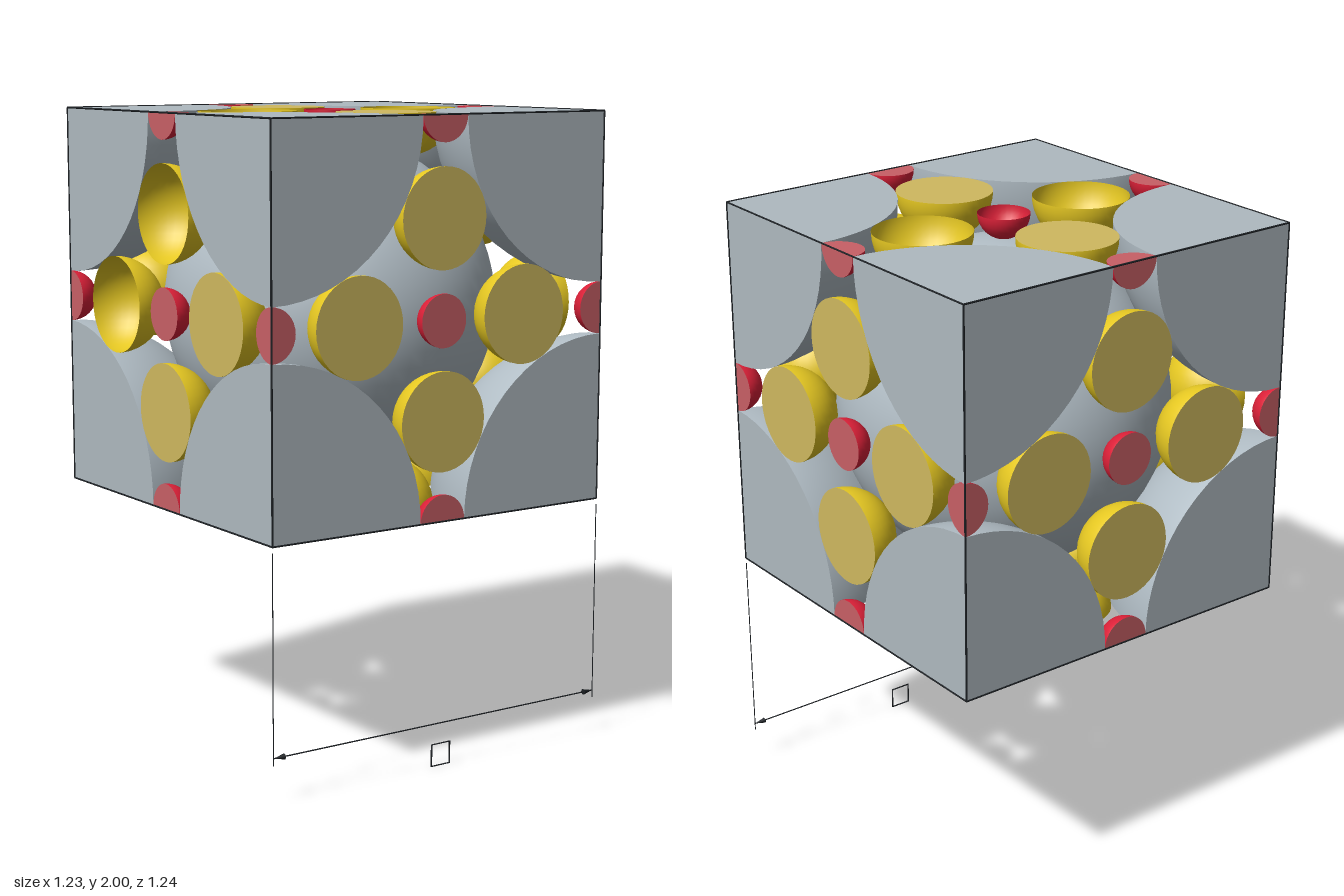
import * as THREE from 'three';

const H = 0.613;                        // half the cell edge
const R = H * Math.sqrt(3) / 2;         // large spheres touch along the diagonal
const R_TETRA = R * 0.291;
const R_OCTA = R * 0.155;
const CENTRE = new THREE.Vector3(0, 1.387, -0.004);

function mat(name, color) {
  const m = new THREE.MeshStandardMaterial({ color, side: THREE.DoubleSide });
  m.name = name;
  return m;
}

const axis = (i, s = 1) => new THREE.Vector3().setComponent(i, s);

// Sphere cut by the cell faces: cut[i] = +1 or -1 where that face passes
// through the centre, 0 where the sphere is left whole.
function cutSphere(name, pos, r, cut, skin, capSkin, seg) {
  const g = new THREE.Group();
  g.name = name;
  g.position.fromArray(pos);

  const [sx, sy, sz] = cut;
  const q = Math.PI / 2;
  let phi = 0, phiLen = 4 * q;
  if (sx && sz) {
    phi = sz < 0 ? (sx > 0 ? 0 : q) : (sx < 0 ? 2 * q : 3 * q);
    phiLen = q;
  } else if (sx) {
    phi = sx > 0 ? -q : q;
    phiLen = 2 * q;
  } else if (sz) {
    phi = sz < 0 ? 0 : 2 * q;
    phiLen = 2 * q;
  }
  const shell = new THREE.Mesh(
    new THREE.SphereGeometry(r, Math.round(seg * phiLen / (4 * q)), sy ? seg / 4 : seg / 2,
      phi, phiLen, sy > 0 ? q : 0, sy ? q : 2 * q), skin);
  shell.name = name + 'Shell';
  g.add(shell);

  // Flat sector on every cut face
  if (capSkin) cut.forEach((s, i) => {
    if (!s) return;
    const n = axis(i, s);
    const others = [0, 1, 2].filter(k => k !== i);
    const inner = others.filter(k => cut[k]).map(k => axis(k, -cut[k]));
    let u = inner[0] || axis(others[0]);
    let v = n.clone().cross(u);
    if (inner.length === 2 && v.dot(inner[1]) < 0) {
      u = inner[1];
      v = n.clone().cross(u);
    }
    const [start, len] = [[0, 4 * q], [-q, 2 * q], [0, q]][inner.length];
    const cap = new THREE.Mesh(
      new THREE.CircleGeometry(r, Math.round(seg * len / (4 * q)), start, len), capSkin);
    cap.name = name + 'Cap';
    cap.quaternion.setFromRotationMatrix(new THREE.Matrix4().makeBasis(u, v, n));
    g.add(cap);
  });
  return g;
}

// Thin straight rod between two points
function rod(name, a, b, r, material) {
  const d = b.clone().sub(a);
  const m = new THREE.Mesh(new THREE.CylinderGeometry(r, r, d.length(), 6), material);
  m.name = name;
  m.position.copy(a).addScaledVector(d, 0.5);
  m.quaternion.setFromUnitVectors(axis(1), d.normalize());
  return m;
}

export function createModel() {
  const grey = mat('atomGrey', 0xb2bec6);
  const greyCap = mat('atomCutGrey', 0xafbac0);
  const yellow = mat('tetrahedralYellow', 0xe6c822);
  const yellowCap = mat('tetrahedralCutYellow', 0xcfb95f);
  const red = mat('octahedralRed', 0xdc2038);
  const redCap = mat('octahedralCutRed', 0xc86066);
  const dark = mat('lineDark', 0x1c2024);

  const model = new THREE.Group();
  model.name = 'unitCell';
  const cell = new THREE.Group();
  cell.name = 'cell';
  cell.position.copy(CENTRE);
  model.add(cell);

  // Some hollows are left uncapped on the top and on the -x face
  const isOpen = (face, k, t) =>
    (face[1] > 0 && k === 0) || (face[0] < 0 && ((k === 1 && t > 0) || (k === 2 && t < 0)));

  const steps = [-1, 0, 1];
  for (const i of steps) for (const j of steps) for (const l of steps) {
    const cut = [i, j, l];
    const pos = cut.map(c => c * H);
    const cuts = cut.filter(Boolean).length;
    if (cuts === 0) {
      cell.add(cutSphere('centreAtom', pos, R, cut, grey, null, 64));
    } else if (cuts === 3) {
      cell.add(cutSphere('cornerAtom', pos, R, cut, grey, greyCap, 64));
    } else if (cuts === 2) {
      cell.add(cutSphere('edgeSite', pos, R_OCTA, cut, red, redCap, 32));
    } else {
      cell.add(cutSphere('faceSite', pos, R_OCTA, cut, red, j > 0 ? null : redCap, 32));
      // Four smaller sites around the middle of each face
      for (const k of [0, 1, 2]) if (!cut[k]) for (const t of [-1, 1]) {
        const p = pos.slice();
        p[k] = t * H / 2;
        cell.add(cutSphere('tetrahedralSite', p, R_TETRA, cut, yellow,
          isOpen(cut, k, t) ? null : yellowCap, 40));
      }
    }
  }

  // Outline of the cell
  for (const k of [0, 1, 2]) for (const s of [-H, H]) for (const t of [-H, H]) {
    const a = new THREE.Vector3().setComponent((k + 1) % 3, s).setComponent((k + 2) % 3, t);
    const b = a.clone();
    cell.add(rod('cellEdge', a.setComponent(k, -H), b.setComponent(k, H), 0.003, dark));
  }

  // Dimension line with arrowheads and extension lines
  const z = CENTRE.z + H;
  const lineY = 0.138;
  const at = (x, y) => new THREE.Vector3(x, y, z);
  model.add(rod('dimensionLine', at(-H, lineY), at(H, lineY), 0.002, dark));
  for (const s of [-1, 1]) {
    model.add(rod('extensionLine', at(s * H, 0.755), at(s * H, 0.115), 0.0015, dark));
    const tip = new THREE.Mesh(new THREE.ConeGeometry(0.009, 0.038, 12), dark);
    tip.name = 'arrowhead';
    tip.rotation.z = -s * Math.PI / 2;
    tip.position.set(s * (H - 0.019), lineY, z);
    model.add(tip);
  }

  // Blank tag under the dimension line
  const tag = new THREE.Mesh(new THREE.TorusGeometry(0.049, 0.003, 6, 4), dark);
  tag.name = 'blankTag';
  tag.rotation.z = Math.PI / 4;
  tag.position.set(0, 0.038, z);
  model.add(tag);

  return model;
}
